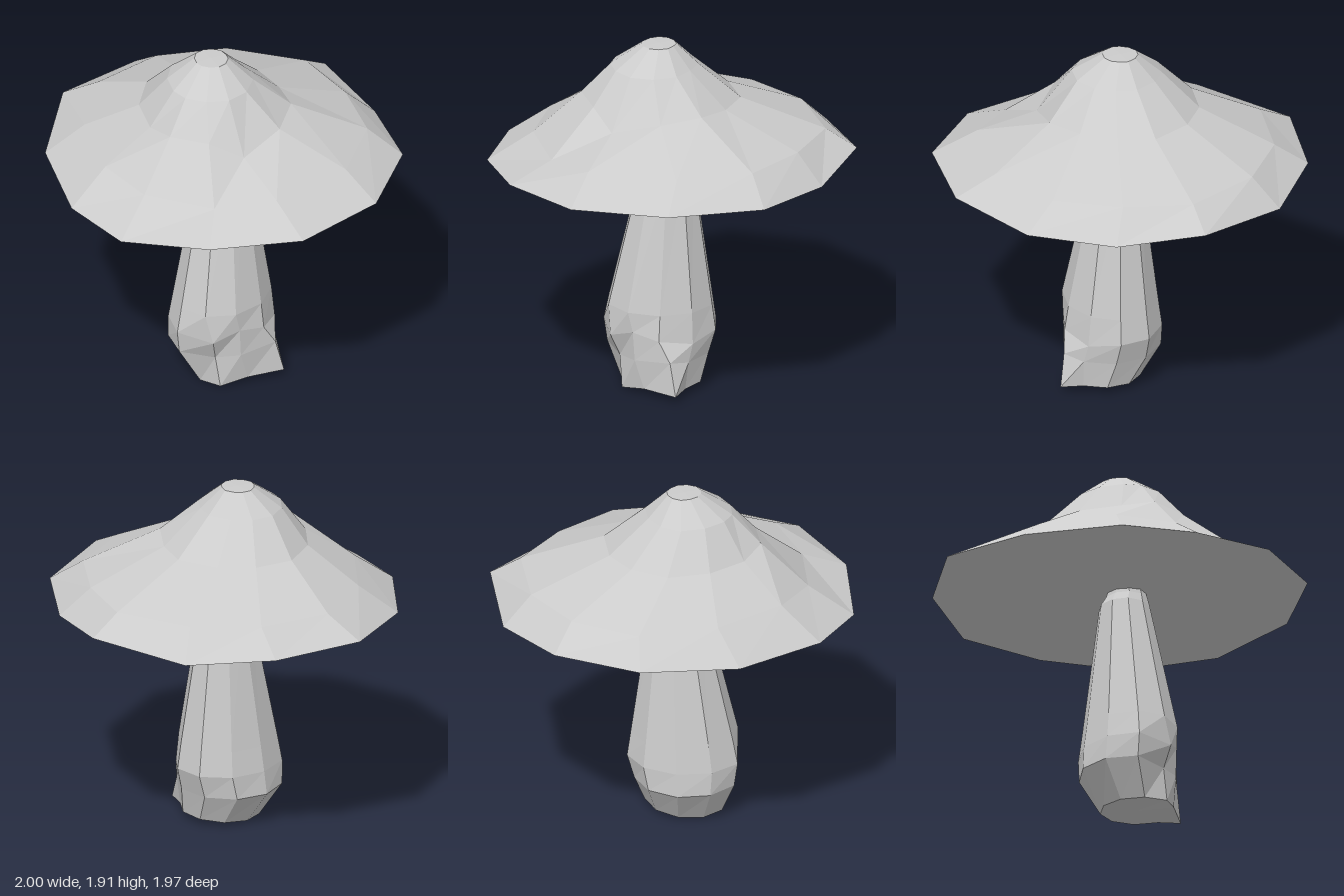
import * as THREE from 'three';

// Joins closed rings (listed bottom to top) and fans both ends shut.
function loft(name, rings, bottomCentre, topCentre) {
  const pos = [];
  const tri = (...pts) => pts.forEach((p) => pos.push(...p));
  const n = rings[0].length;
  for (let k = 0; k < n; k++) {
    const j = (k + 1) % n;
    for (let i = 0; i < rings.length - 1; i++) {
      const a = rings[i][k], b = rings[i][j], c = rings[i + 1][j], d = rings[i + 1][k];
      tri(a, d, b);
      tri(b, d, c);
    }
    const top = rings[rings.length - 1];
    tri(bottomCentre, rings[0][k], rings[0][j]);
    tri(topCentre, top[j], top[k]);
  }
  const geo = new THREE.BufferGeometry();
  geo.setAttribute('position', new THREE.Float32BufferAttribute(pos, 3));
  geo.computeVertexNormals();
  const mesh = new THREE.Mesh(geo, new THREE.MeshStandardMaterial({ color: 0xcccccc, flatShading: true }));
  mesh.name = name;
  return mesh;
}

// Cap: an uneven twelve-sided rim, shrunk and raised ring by ring.
function buildCap() {
  const rim = [
    [1, 1.32, 0], [0.88, 1.315, 0.52], [0.5, 1.3, 0.85], [0.02, 1.25, 0.98],
    [-0.37, 1.265, 0.87], [-0.78, 1.28, 0.51], [-1, 1.32, 0.01], [-0.86, 1.31, -0.48],
    [-0.52, 1.28, -0.82], [0.01, 1.33, -0.99], [0.45, 1.28, -0.81], [0.83, 1.3, -0.51],
  ];
  // scale, height, centre x, centre z
  const levels = [
    [0.79, 1.435, -0.01, -0.04], [0.425, 1.61, -0.01, 0.05],
    [0.24, 1.8, -0.01, 0.09], [0.095, 1.913, -0.015, 0.065],
  ];
  const rings = levels.map(([s, y, cx, cz]) => rim.map(([x, , z]) => [cx + x * s, y, cz + z * s]));
  // sunken and raised corners of the surface
  rings[0][1] = [0.65, 1.44, 0.43];
  rings[0][2][1] = 1.4;
  rings[0][3][1] = 1.41;
  rings[1][1] = [0.36, 1.545, 0.31];
  rings[1][2][1] = 1.63;
  rings[1][3] = [0, 1.64, 0.48];
  rings[1][11][1] = 1.63;
  return loft('cap', [rim, ...rings], [0, 1.285, 0], [-0.015, 1.915, 0.065]);
}

// Stem: ten-sided, swollen near the foot, with a toe on one side.
function buildStem() {
  const sides = 10;
  // height, centre x, radius x, centre z, radius z
  const levels = [
    [0.02, 0.11, 0.21, 0.05, 0.22], [0.2, 0.055, 0.285, 0.07, 0.285],
    [0.33, 0.05, 0.27, 0.06, 0.315], [0.47, 0.05, 0.25, 0.055, 0.29],
    [1.21, 0.035, 0.135, 0.02, 0.147], [1.26, 0.045, 0.115, 0.02, 0.125],
    [1.31, 0.045, 0.1, 0.02, 0.11],
  ];
  const rings = levels.map(([y, cx, rx, cz, rz]) => Array.from({ length: sides }, (_, k) => {
    const a = (k / sides) * Math.PI * 2;
    return [cx + rx * Math.cos(a), y, cz + rz * Math.sin(a)];
  }));
  // tilted foot: lowest at the front and the right
  rings[0].forEach((p) => { p[1] = Math.max(0, 0.02 + 0.05 * p[0] - 0.08 * (p[2] - 0.05)); });
  // toe, and the hollow beside it
  rings[0][0] = [0.39, 0.04, -0.03];
  rings[1][0] = [0.355, 0.22, 0];
  rings[0][1] = [0.27, 0.04, 0.14];
  rings[1][1] = [0.26, 0.2, 0.19];
  rings[2][1] = [0.26, 0.36, 0.2];
  rings[1][2] = [0.15, 0.19, 0.27];
  rings[2][2] = [0.17, 0.31, 0.32];
  rings[2][9] = [0.27, 0.3, -0.12];
  return loft('stem', rings, [0.1, 0.025, 0.05], [0.045, 1.31, 0.02]);
}

export function createModel() {
  const group = new THREE.Group();
  group.name = 'mushroom';
  group.add(buildCap(), buildStem());
  return group;
}
